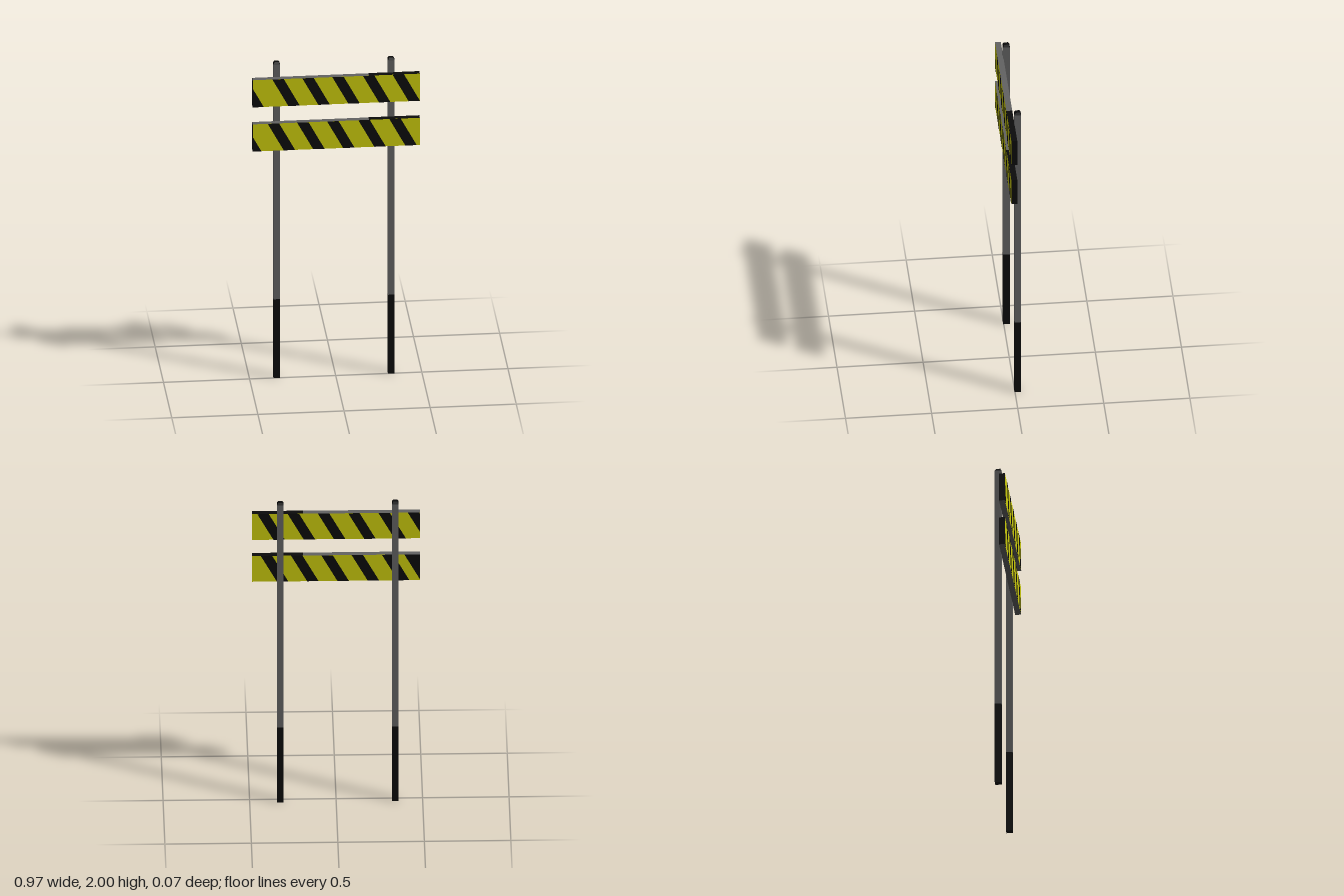
import * as THREE from 'three';

const material = (name, color) => {
  const m = new THREE.MeshStandardMaterial({ color });
  m.name = name;
  return m;
};

const WIDTH = 0.97, HEIGHT = 0.172, DEPTH = 0.034;
const POST = 0.039, SLANT = 0.093, STRIPE = 0.066;

// Cuts a polygon at x = limit, keeping the side given by sign
function clip(points, limit, sign) {
  const out = [];
  points.forEach((p, i) => {
    const q = points[(i + 1) % points.length];
    const dp = (limit - p.x) * sign, dq = (limit - q.x) * sign;
    if (dp >= 0) out.push(p);
    if (dp * dq < 0) out.push(p.clone().lerp(q, dp / (dp - dq)));
  });
  return out;
}

// Slanted stripe as a flat face, measured from the board's left edge
function stripeGeometry(start, width) {
  const h = HEIGHT / 2;
  let pts = [
    new THREE.Vector2(start, h), new THREE.Vector2(start + SLANT, -h),
    new THREE.Vector2(start + SLANT + width, -h), new THREE.Vector2(start + width, h),
  ];
  pts = clip(clip(pts, 0, -1), WIDTH, 1);
  return new THREE.ShapeGeometry(new THREE.Shape(pts)).translate(-WIDTH / 2, 0, DEPTH / 2 + 0.001);
}

export function createModel() {
  const model = new THREE.Group();
  const yellow = material('yellow', 0xcccc0c);
  const black = material('black', 0x0b0b0b);
  const grey = material('grey', 0x636363);

  const add = (parent, name, geometry, mat, x = 0, y = 0, z = 0) => {
    const mesh = new THREE.Mesh(geometry, mat);
    mesh.name = name;
    mesh.position.set(x, y, z);
    parent.add(mesh);
    return mesh;
  };

  // Two square posts with dark feet and bevelled caps
  for (const [name, x] of [['rightPost', -0.342], ['leftPost', 0.323]]) {
    const post = new THREE.Group();
    post.name = name;
    post.position.set(x, 0, -0.0165);
    add(post, 'postFoot', new THREE.BoxGeometry(POST, 0.5, POST), black, 0, 0.25);
    add(post, 'postShaft', new THREE.BoxGeometry(POST, 1.486, POST), grey, 0, 1.243);
    const cap = new THREE.CylinderGeometry(0.012 * Math.SQRT2, POST / Math.SQRT2, 0.014, 4)
      .rotateY(Math.PI / 4).toNonIndexed();
    cap.computeVertexNormals();
    add(post, 'postCap', cap, black, 0, 1.993);
    model.add(post);
  }

  // Striped boards: start of each stripe along the top edge, front and back
  const boards = [
    { name: 'upperBoard', y: 1.823, front: [-0.095, 0.114, 0.288, 0.462, 0.64, 0.812],
      back: [0.03, 0.205, 0.38, 0.555, 0.73, 0.9], end: STRIPE },
    { name: 'lowerBoard', y: 1.543, front: [-0.109, 0.087, 0.258, 0.432, 0.613, 0.793],
      back: [0.05, 0.225, 0.4, 0.575, 0.75, 0.88], end: 0.12 },
  ];
  for (const { name, y, front, back, end } of boards) {
    const board = new THREE.Group();
    board.name = name;
    board.position.set(0, y, 0.018);
    add(board, 'plank', new THREE.BoxGeometry(WIDTH, HEIGHT, DEPTH),
      [black, black, grey, grey, yellow, yellow]);
    // Dark section of the top edge
    const length = WIDTH / 2 - 0.19;
    add(board, 'topEdge', new THREE.BoxGeometry(length, 0.001, DEPTH), black,
      0.19 + length / 2, HEIGHT / 2 + 0.0005);
    front.forEach((s) => add(board, 'frontStripe', stripeGeometry(s, STRIPE), black));
    back.forEach((s, i) => {
      const width = i === back.length - 1 ? end : STRIPE;
      add(board, 'backStripe', stripeGeometry(s, width), black).rotation.y = Math.PI;
    });
    model.add(board);
  }
  return model;
}
